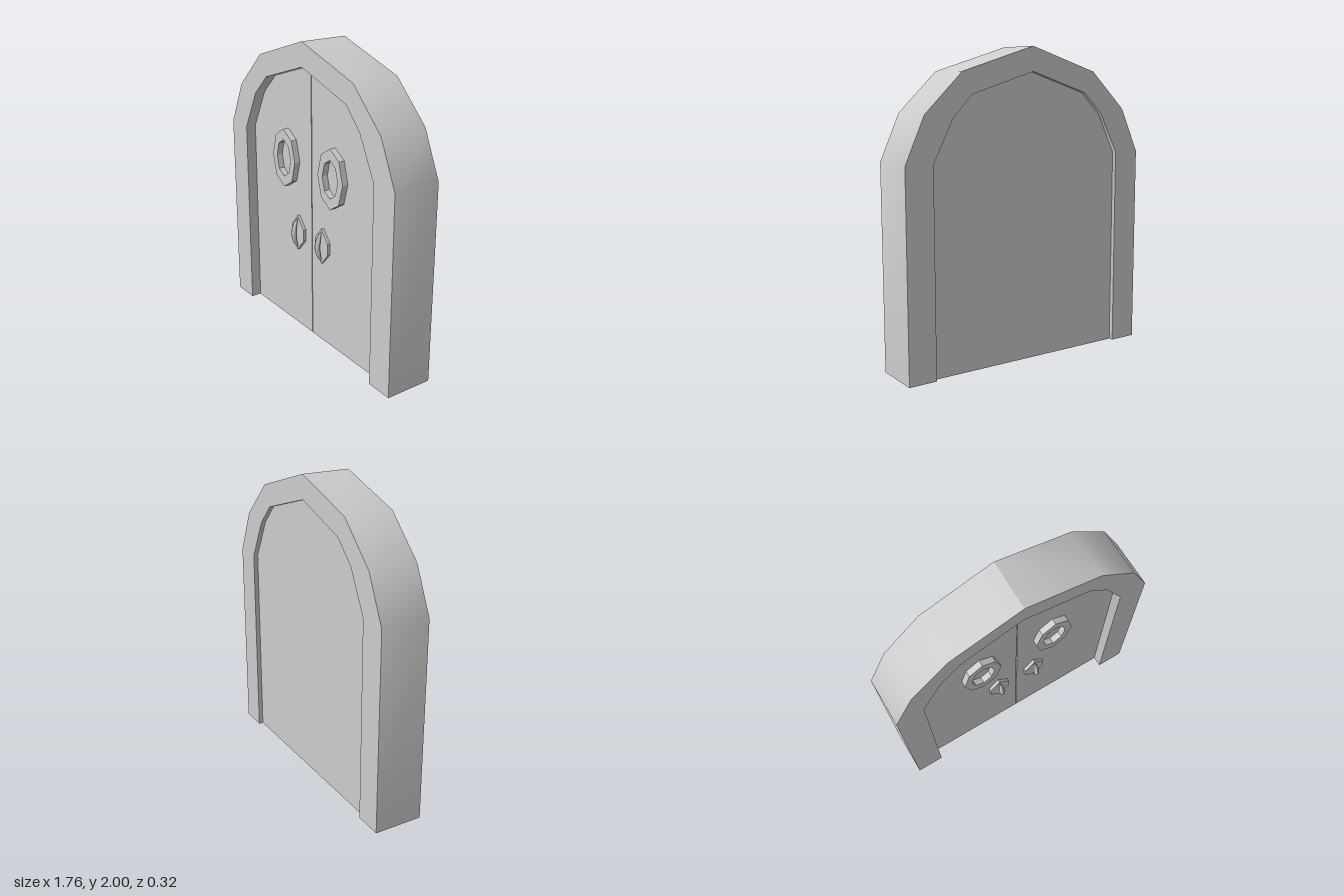
import * as THREE from 'three';
import { toCreasedNormals } from 'three/addons/utils/BufferGeometryUtils.js';

const material = new THREE.MeshStandardMaterial({ color: 0xcccccc });
const SEAM = -0.015; // x of the line where the two leaves meet

// Arch outlines, running from the foot on +x over the apex to the foot on -x
const OUTER = [[0.88, 0], [0.88, 1.31], [0.75, 1.6], [0.495, 1.845], [SEAM, 2],
  [-0.495, 1.845], [-0.75, 1.6], [-0.885, 1.31], [-0.885, 0]];
const INNER = [[0.695, 0], [0.695, 1.31], [0.56, 1.575], [0.43, 1.71], [SEAM, 1.845],
  [-0.425, 1.71], [-0.565, 1.575], [-0.7, 1.31], [-0.7, 0]];

const toPoints = (pairs) => pairs.map(([x, y]) => new THREE.Vector2(x, y));

// Straight slab between two depths
function slab(name, points, z0, z1, hole) {
  const shape = new THREE.Shape(points);
  if (hole) shape.holes.push(new THREE.Path(hole));
  const geometry = new THREE.ExtrudeGeometry(shape, { depth: z1 - z0, bevelEnabled: false });
  geometry.translate(0, 0, z0);
  const mesh = new THREE.Mesh(toCreasedNormals(geometry, 0.5), material);
  mesh.name = name;
  return mesh;
}

// Eight-sided oval with corners on its axes
function octagon(rx, ry) {
  return Array.from({ length: 8 }, (_, i) => {
    const a = (i * Math.PI) / 4;
    return new THREE.Vector2(rx * Math.cos(a), ry * Math.sin(a));
  });
}

// Tapered spindle bowed outwards in the middle
function gripGeometry(halfHeight, radius, bow) {
  const profile = Array.from({ length: 9 }, (_, i) => {
    const t = i / 4 - 1;
    return new THREE.Vector2(radius * Math.sqrt(1 - t * t), t * halfHeight);
  });
  const geometry = new THREE.LatheGeometry(profile, 8);
  const p = geometry.attributes.position;
  for (let i = 0; i < p.count; i++) {
    const t = p.getY(i) / halfHeight;
    p.setZ(i, p.getZ(i) + bow * (1 - t * t));
  }
  geometry.computeVertexNormals();
  return geometry;
}

export function createModel() {
  const group = new THREE.Group();
  group.name = 'archedDoubleDoor';

  // Surrounding frame
  group.add(slab('frame', toPoints([...OUTER, ...[...INNER].reverse()]), -0.16, 0.16));

  // Solid core, with the two leaves in front leaving a thin seam
  group.add(slab('doorCore', toPoints(INNER), -0.13, 0.06));
  const gap = 0.003;
  const apexY = INNER[4][1];
  group.add(slab('leftLeaf',
    toPoints([...INNER.slice(0, 4), [SEAM + gap, apexY], [SEAM + gap, 0]]), 0.06, 0.09));
  group.add(slab('rightLeaf',
    toPoints([[SEAM - gap, 0], [SEAM - gap, apexY], ...INNER.slice(5)]), 0.06, 0.09));

  // Oval window rings
  for (const [side, x] of [['left', 0.235], ['right', -0.28]]) {
    const ring = slab(side + 'WindowRing', octagon(0.13, 0.198), 0.09, 0.13, octagon(0.08, 0.125));
    ring.position.set(x, 1.192, 0);
    group.add(ring);
  }

  // Handles: pointed back plate and bowed grip
  const plate = toPoints([[0, -0.122], [0.07, -0.04], [0.07, 0.04],
    [0, 0.122], [-0.07, 0.04], [-0.07, -0.04]]);
  for (const [side, x] of [['left', 0.115], ['right', -0.157]]) {
    const handle = new THREE.Group();
    handle.name = side + 'Handle';
    handle.add(slab('backPlate', plate, 0.09, 0.11));
    const grip = new THREE.Mesh(gripGeometry(0.105, 0.018, 0.03), material);
    grip.name = 'grip';
    grip.position.z = 0.11;
    handle.add(grip);
    handle.position.set(x, 0.698, 0);
    group.add(handle);
  }
  return group;
}
